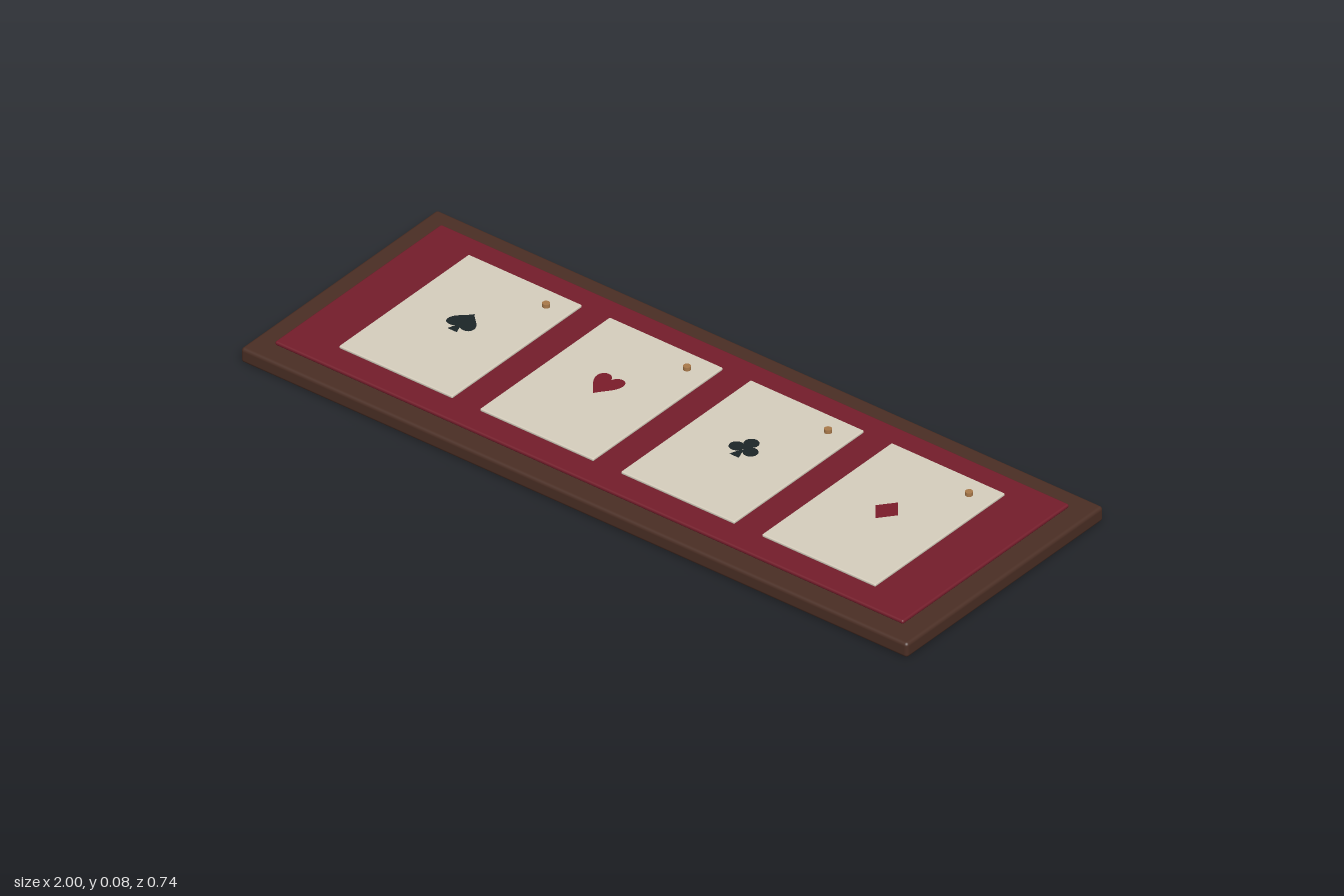
import * as THREE from 'three';
import { RoundedBoxGeometry } from 'three/addons/geometries/RoundedBoxGeometry.js';

const material = (color) => new THREE.MeshStandardMaterial({ color });

// Slab with rounded edges spanning y0..y1, centred on x
function slab(name, width, depth, y0, y1, radius, mat) {
  const mesh = new THREE.Mesh(new RoundedBoxGeometry(width, y1 - y0, depth, 4, radius), mat);
  mesh.name = name;
  mesh.position.y = (y0 + y1) / 2;
  return mesh;
}

// Suit outlines, drawn upright around the card centre
function heartShape() {
  const s = new THREE.Shape();
  s.moveTo(0, -0.033);
  s.bezierCurveTo(0.012, -0.012, 0.039, 0.008, 0.039, 0.032);
  s.bezierCurveTo(0.039, 0.06, 0.006, 0.06, 0, 0.036);
  s.bezierCurveTo(-0.006, 0.06, -0.039, 0.06, -0.039, 0.032);
  s.bezierCurveTo(-0.039, 0.008, -0.012, -0.012, 0, -0.033);
  return [s];
}

function stemShape() {
  return new THREE.Shape([[-0.014, -0.032], [0.014, -0.032], [0.003, 0], [-0.003, 0]]
    .map(([x, y]) => new THREE.Vector2(x, y)));
}

function spadeShape() {
  const s = new THREE.Shape();
  s.moveTo(0, 0.054);
  s.bezierCurveTo(0.012, 0.034, 0.039, 0.024, 0.039, 0.002);
  s.bezierCurveTo(0.039, -0.022, 0.008, -0.02, 0, -0.004);
  s.bezierCurveTo(-0.008, -0.02, -0.039, -0.022, -0.039, 0.002);
  s.bezierCurveTo(-0.039, 0.024, -0.012, 0.034, 0, 0.054);
  return [s, stemShape()];
}

function clubShape() {
  const lobes = [[0, 0.034], [-0.021, 0.004], [0.021, 0.004], [0, 0.012]].map(([x, y], i) => {
    const s = new THREE.Shape();
    s.absarc(x, y, i === 3 ? 0.011 : 0.019, 0, Math.PI * 2);
    return s;
  });
  return [...lobes, stemShape()];
}

function diamondShape() {
  return [new THREE.Shape([[0, -0.03], [0.034, 0.012], [0, 0.054], [-0.034, 0.012]]
    .map(([x, y]) => new THREE.Vector2(x, y)))];
}

export function createModel() {
  const model = new THREE.Group();
  model.name = 'cardTray';
  const wood = material(0x4a2e24);
  const felt = material(0x741d2b);
  const paper = material(0xd6cebd);
  const brass = material(0xa9794a);
  const black = new THREE.MeshStandardMaterial({ color: 0x1c2528, side: THREE.DoubleSide });
  const red = new THREE.MeshStandardMaterial({ color: 0x7a1c2a, side: THREE.DoubleSide });

  // Wooden board and inset felt
  model.add(slab('woodenBoard', 2, 0.742, 0, 0.041, 0.009, wood));
  model.add(slab('feltPad', 1.885, 0.628, 0.042, 0.053, 0.005, felt));

  // Four cards, each with a suit mark and a brass stud
  const suits = [
    ['spade', spadeShape, black],
    ['heart', heartShape, red],
    ['club', clubShape, black],
    ['diamond', diamondShape, red],
  ];
  suits.forEach(([name, shapes, mat], i) => {
    const card = new THREE.Group();
    card.name = `${name}Card`;
    card.position.x = (i - 1.5) * 0.423;
    card.add(slab('cardPanel', 0.34, 0.49, 0.054, 0.062, 0.003, paper));

    const mark = new THREE.Mesh(new THREE.ShapeGeometry(shapes(), 12), mat);
    mark.name = `${name}Mark`;
    mark.rotation.x = -Math.PI / 2;
    mark.position.y = 0.065;
    card.add(mark);

    const stud = new THREE.Mesh(new THREE.CylinderGeometry(0.0095, 0.0095, 0.01, 20), brass);
    stud.name = 'brassStud';
    stud.position.set(0.112, 0.071, -0.182);
    card.add(stud);
    model.add(card);
  });
  return model;
}
